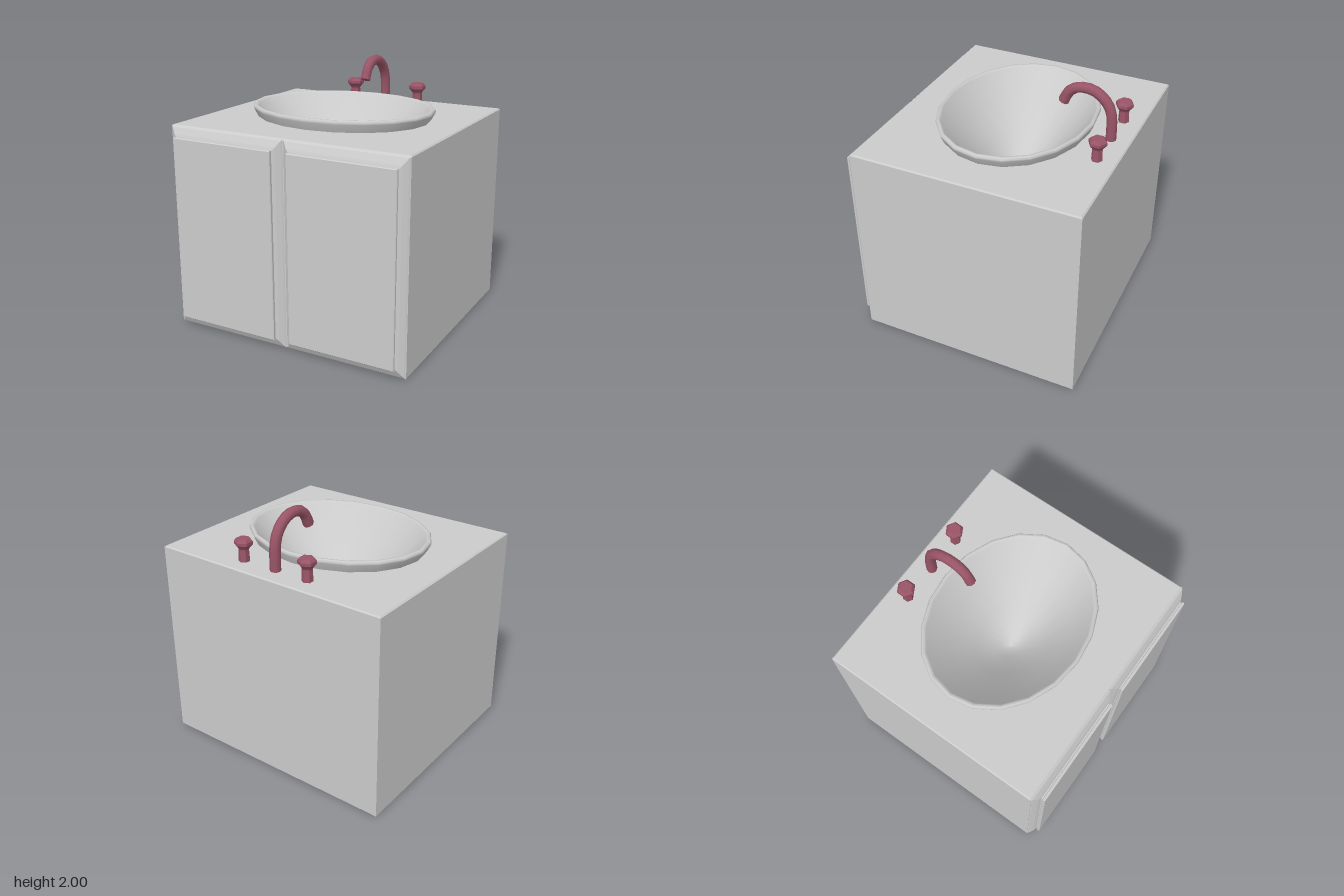
import * as THREE from 'three';

const grey = new THREE.MeshStandardMaterial({ color: 0xcccccc });
const flatGrey = new THREE.MeshStandardMaterial({ color: 0xcccccc, flatShading: true });
const rose = new THREE.MeshStandardMaterial({ color: 0x9a5568 });
const flatRose = new THREE.MeshStandardMaterial({ color: 0x9a5568, flatShading: true });

function add(parent, name, geometry, material, x = 0, y = 0, z = 0) {
  const mesh = new THREE.Mesh(geometry, material);
  mesh.name = name;
  mesh.position.set(x, y, z);
  parent.add(mesh);
  return mesh;
}

// Loft through centred rectangles [halfWidth, halfHeight, z], z rising
function rectLoft(sections, capStart, capEnd) {
  const pos = [];
  const rings = sections.map(([w, h, z]) => [[-w, -h, z], [w, -h, z], [w, h, z], [-w, h, z]]);
  const quad = (a, b, c, d) => pos.push(...a, ...b, ...c, ...a, ...c, ...d);
  for (let i = 0; i < rings.length - 1; i++) {
    for (let k = 0; k < 4; k++) {
      const n = (k + 1) % 4;
      quad(rings[i][k], rings[i][n], rings[i + 1][n], rings[i + 1][k]);
    }
  }
  const [a, b, c, d] = rings[0];
  if (capStart) quad(d, c, b, a);
  if (capEnd) quad(...rings[rings.length - 1]);
  const geometry = new THREE.BufferGeometry();
  geometry.setAttribute('position', new THREE.Float32BufferAttribute(pos, 3));
  geometry.computeVertexNormals();
  return geometry;
}

export function createModel() {
  const group = new THREE.Group();
  const W = 0.965, D = 0.8675, H = 1.59, cz = -0.0375, bowlZ = -0.035, edge = 0.01;

  // Cabinet shell with slightly bevelled edges
  const shell = rectLoft([
    [W - edge, D - edge, 0], [W, D, edge], [W, D, H - edge], [W - edge, D - edge, H],
  ], true, false);
  shell.rotateX(-Math.PI / 2);
  add(group, 'cabinet', shell, flatGrey, 0, 0, cz);

  // Countertop with an oval cut-out for the basin
  const w = W - edge, d = D - edge;
  const top = new THREE.Shape([
    new THREE.Vector2(-w, -d), new THREE.Vector2(w, -d),
    new THREE.Vector2(w, d), new THREE.Vector2(-w, d),
  ]);
  const hole = new THREE.EllipseCurve(0, cz - bowlZ, 0.66, 0.53).getPoints(20).slice(0, 20);
  top.holes.push(new THREE.Path(hole));
  const topGeometry = new THREE.ShapeGeometry(top);
  topGeometry.rotateX(-Math.PI / 2);
  add(group, 'countertop', topGeometry, flatGrey, 0, H, cz);

  // Two doors: sloping moulding, then a raised panel
  const hw = W / 2, hh = H / 2;
  for (const side of [-1, 1]) {
    const door = rectLoft([
      [hw, hh - 0.003, 0.825],
      [hw - 0.012, hh - 0.015, 0.838],
      [hw - 0.045, hh - 0.06, 0.862],
      [hw - 0.058, hh - 0.074, 0.868],
      [hw - 0.07, hh - 0.086, 0.872],
      [hw - 0.07, hh - 0.086, 0.882],
      [hw - 0.064, hh - 0.08, 0.886],
      [hw - 0.064, hh - 0.08, 0.9],
      [hw - 0.069, hh - 0.085, 0.905],
    ], false, true);
    add(group, side < 0 ? 'rightDoor' : 'leftDoor', door, flatGrey, side * hw, hh, 0);
  }

  // Oval basin: outer lip, rolled rim, then a deep conical bowl
  const profile = [
    [0.945, 1.585], [0.965, 1.61], [0.995, 1.65], [1, 1.665], [0.985, 1.68],
    [0.96, 1.68], [0.94, 1.665], [0.72, 1.49], [0.4, 1.27], [0.12, 1.1], [0, 1.08],
  ].map(([r, y]) => new THREE.Vector2(r, y));
  const basin = new THREE.LatheGeometry(profile, 20, Math.PI / 2);
  basin.scale(0.73, 1, 0.585);
  add(group, 'basin', basin, grey, 0, 0, bowlZ);

  // Curved spout
  const path = new THREE.CatmullRomCurve3([
    [1.585, -0.757], [1.68, -0.757], [1.76, -0.753], [1.83, -0.737], [1.895, -0.695],
    [1.945, -0.625], [1.96, -0.55], [1.947, -0.48], [1.905, -0.425], [1.82, -0.385],
  ].map(([y, z]) => new THREE.Vector3(0, y, z)));
  const tap = new THREE.Group();
  tap.name = 'tap';
  tap.position.x = 0.012;
  group.add(tap);
  add(tap, 'spout', new THREE.TubeGeometry(path, 14, 0.04, 8), rose);
  const end = path.getPoint(1);
  const cap = add(tap, 'spoutEnd', new THREE.CircleGeometry(0.04, 8), rose, end.x, end.y, end.z);
  cap.lookAt(end.clone().add(path.getTangent(1)).add(new THREE.Vector3(0.012, 0, 0)));
  cap.quaternion.setFromUnitVectors(new THREE.Vector3(0, 0, 1), path.getTangent(1));

  // Hexagonal tap handles
  const knob = [
    [0.042, 1.585], [0.038, 1.68], [0.042, 1.69], [0.068, 1.72], [0.068, 1.742], [0.05, 1.762], [0, 1.762],
  ].map(([r, y]) => new THREE.Vector2(r, y));
  for (const [name, x] of [['rightHandle', -0.27], ['leftHandle', 0.302]]) {
    add(group, name, new THREE.LatheGeometry(knob, 6), flatRose, x, 0, -0.757);
  }
  return group;
}
